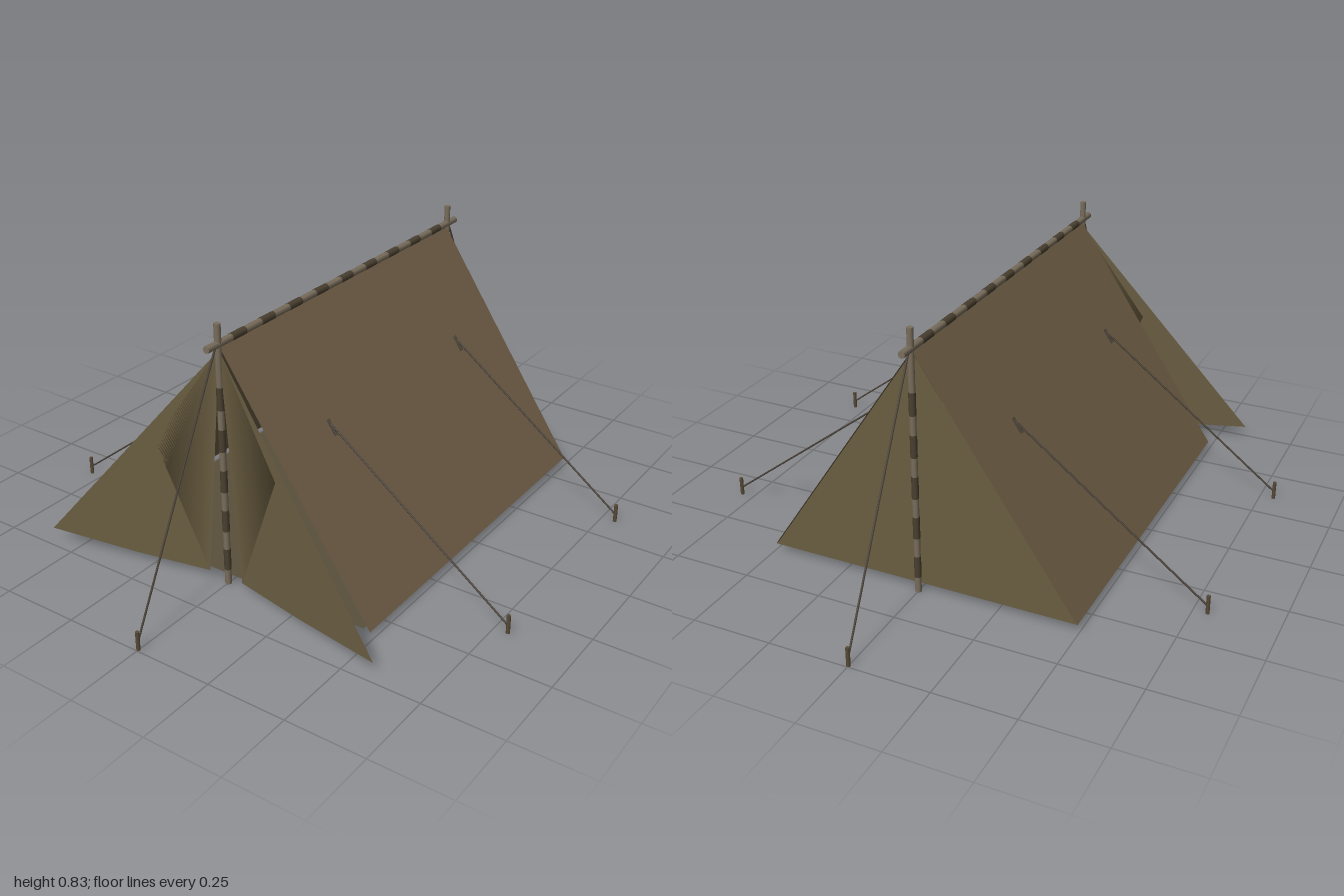
import * as THREE from 'three';

const mat = (name, color, side = THREE.FrontSide) => {
  const m = new THREE.MeshStandardMaterial({ color, side });
  m.name = name;
  return m;
};

export function createModel() {
  const tent = new THREE.Group();
  tent.name = 'tent';
  const roofCloth = mat('roof canvas', 0x6e5e46, THREE.DoubleSide);
  const wallCloth = mat('wall canvas', 0x695c40, THREE.DoubleSide);
  const floorCloth = mat('groundsheet', 0x5a4f3c, THREE.DoubleSide);
  const wood = mat('weathered wood', 0x7a6e5c);
  const binding = mat('dark binding', 0x4a4030);
  const rope = mat('rope', 0x4a4238);
  const pegWood = mat('peg wood', 0x594b37);

  // Flat convex cloth panel from its corners
  const panel = (name, corners, material) => {
    const g = new THREE.BufferGeometry();
    g.setAttribute('position', new THREE.Float32BufferAttribute(corners.flat(), 3));
    const index = [];
    for (let i = 1; i < corners.length - 1; i++) index.push(0, i, i + 1);
    g.setIndex(index);
    g.computeVertexNormals();
    const mesh = new THREE.Mesh(g, material);
    mesh.name = name;
    tent.add(mesh);
  };

  // Round bar between two points
  const bar = (name, from, to, radius, material, sides = 8) => {
    const a = new THREE.Vector3(...from), b = new THREE.Vector3(...to);
    const dir = b.clone().sub(a);
    const mesh = new THREE.Mesh(new THREE.CylinderGeometry(radius, radius, dir.length(), sides), material);
    mesh.position.copy(a).add(b).multiplyScalar(0.5);
    mesh.quaternion.setFromUnitVectors(new THREE.Vector3(0, 1, 0), dir.normalize());
    mesh.name = name;
    tent.add(mesh);
  };

  const rope2Peg = (name, from, x, z) => {
    bar(name + 'Rope', from, [x, 0.025, z], 0.003, rope, 6);
    bar(name + 'Peg', [x, 0, z], [x, 0.06, z], 0.006, pegWood, 6);
  };

  // Groundsheet, a little narrower than the roof
  panel('groundsheet', [[-0.47, 0.025, 0.595], [0.47, 0.025, 0.595], [0.47, 0.025, -0.595], [-0.47, 0.025, -0.595]], floorCloth);

  // Back wall
  panel('backWall', [[0, 0.755, -0.597], [0.492, 0.025, -0.597], [-0.492, 0.025, -0.597]], wallCloth);

  for (const s of [-1, 1]) {
    const side = s > 0 ? 'left' : 'right';
    // Roof slope
    panel(side + 'Roof', [[0, 0.76, 0.6], [s * 0.495, 0.025, 0.6], [s * 0.495, 0.025, -0.6], [0, 0.76, -0.6]], roofCloth);
    // Door flap swung open and pulled back at the middle
    const flap = [[0, 0.75], [0.217, 0.43], [0.06, 0.027], [0.3, 0.03], [0.59, 0.045]];
    panel(side + 'DoorFlap', flap.map(([x, y]) => [s * x, y, 0.602 + 0.215 * x]), wallCloth);
    // Side guy lines
    for (const z of [-0.357, 0.357]) {
      rope2Peg(side + 'Guy', [s * 0.19, 0.483, z], s * 0.793, z);
      bar(side + 'GuyLoop', [s * 0.185, 0.489, z], [s * 0.215, 0.447, z], 0.005, rope, 6);
    }
  }

  // Upright poles with bindings, and end guy lines
  for (const s of [-1, 1]) {
    const end = s > 0 ? 'front' : 'back';
    const z = s * 0.605;
    bar(end + 'Pole', [0, 0, z], [0, 0.83, z], 0.01, wood);
    for (let y = 0.05; y < 0.7; y += 0.13)
      bar(end + 'PoleBinding', [0, y, z], [0, y + 0.07, z], 0.0107, binding);
    rope2Peg(end + 'Guy', [0, 0.765, s * 0.615], 0, s * 0.994);
  }

  // Ridge pole with bindings
  bar('ridgePole', [0, 0.769, -0.655], [0, 0.769, 0.655], 0.011, wood);
  for (let i = 0; i < 9; i++) {
    const z = -0.52 + i * 0.13;
    bar('ridgeBinding', [0, 0.769, z - 0.03], [0, 0.769, z + 0.03], 0.0117, binding);
  }
  return tent;
}
